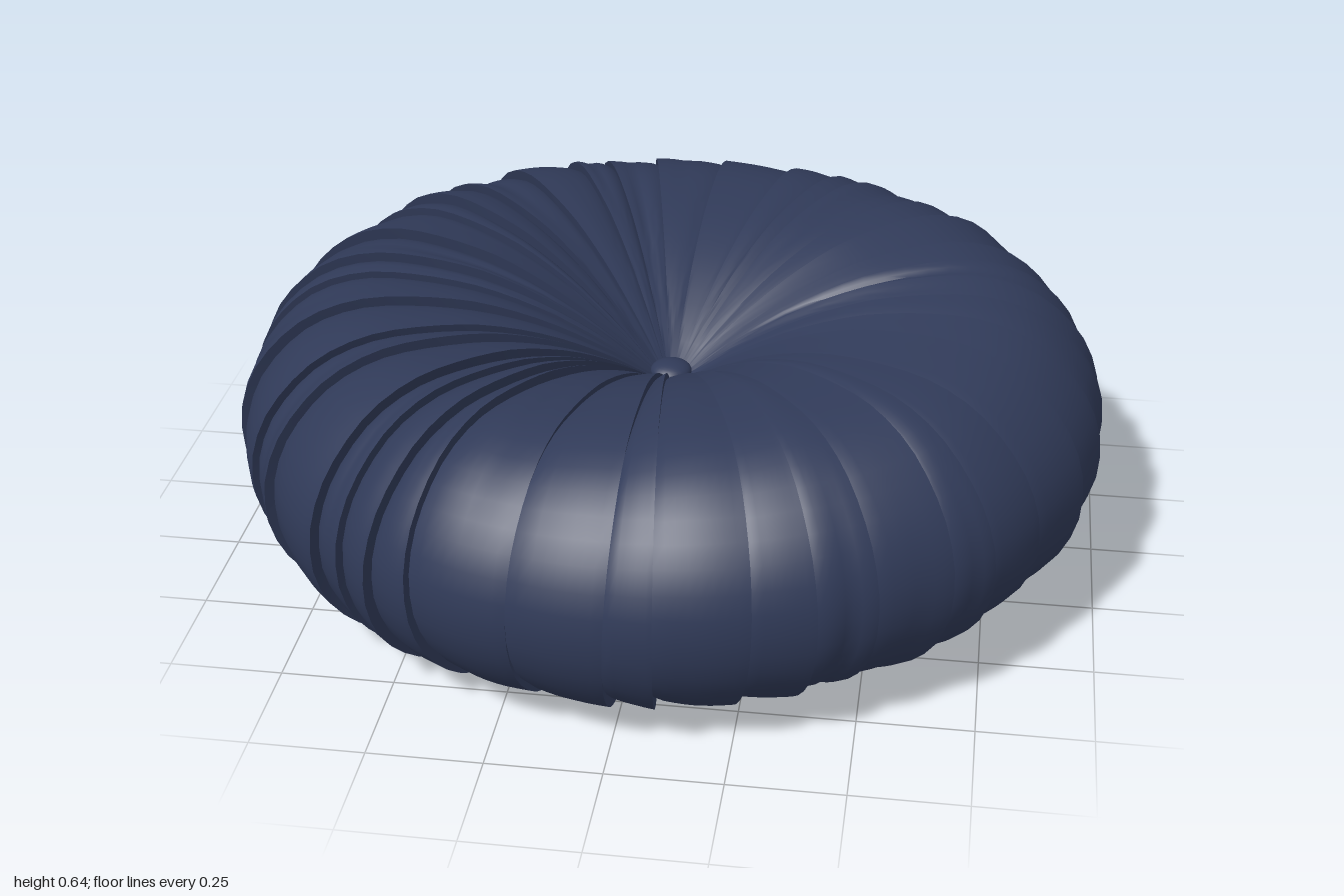
import * as THREE from 'three';
import { toCreasedNormals } from 'three/addons/utils/BufferGeometryUtils.js';

const MID = 0.322;   // height of the cushion's middle plane
const PLEATS = 38;
const ROWS = 48;
const COLS = 8;

// small seeded random source
function makeRandom(seed) {
  let s = seed;
  return () => (s = (s * 16807) % 2147483647) / 2147483647;
}

// half section from the tufted top centre, round the rim, to the bottom centre
function makeProfile() {
  const top = [
    [0.015, 0.06], [0.06, 0.085], [0.16, 0.15], [0.3, 0.22], [0.45, 0.268],
    [0.6, 0.29], [0.72, 0.287], [0.83, 0.247], [0.92, 0.165], [0.965, 0.08],
  ];
  const points = top.map(([r, y]) => new THREE.Vector2(r, y));
  points.push(new THREE.Vector2(0.977, 0));
  for (const [r, y] of top.slice().reverse()) points.push(new THREE.Vector2(r, -y));
  return new THREE.SplineCurve(points);
}

// gathered cover: each pleat swells gently and folds over the next one
function pleatedCover() {
  const random = makeRandom(4217);
  const widths = Array.from({ length: PLEATS }, () => 0.55 + random() * 0.9);
  const total = widths.reduce((a, b) => a + b, 0);
  let angle = 0;
  const seams = widths.map((w) => {
    const seam = {
      angle,
      sway: (random() - 0.5) * 0.07,
      phase: random() * 6.28,
      lift: 0.01 + random() * 0.016,
      puff: 0.003 + random() * 0.006,
      crease: random() * 0.012,
      creaseAt: 0.15 + random() * 0.7,
    };
    angle += (w / total) * Math.PI * 2;
    return seam;
  });

  const profile = makeProfile();
  const rows = Array.from({ length: ROWS + 1 }, (_, j) => {
    const t = j / ROWS;
    return { t, p: profile.getPointAt(t), d: profile.getTangentAt(t) };
  });
  const seamAngle = (s, t) => s.angle + s.sway * Math.sin(t * 5 + s.phase);

  const positions = [];
  const indices = [];
  seams.forEach((seam, i) => {
    const next = seams[(i + 1) % PLEATS];
    const turn = i === PLEATS - 1 ? Math.PI * 2 : 0;
    const base = positions.length / 3;
    for (const { t, p, d } of rows) {
      const a0 = seamAngle(seam, t);
      const a1 = seamAngle(next, t) + turn;
      const fullness = Math.min(1, p.x / 0.45);
      for (let k = 0; k <= COLS + 1; k++) {
        const fold = k > COLS;                       // last column tucks under
        const u = fold ? 1 : k / COLS;
        const a = a0 + (a1 - a0) * (fold ? 1 : u * 1.03);
        const dent = seam.crease * Math.exp(-(((t - seam.creaseAt) / 0.12) ** 2)
          - ((u - 0.6) / 0.16) ** 2);
        const rise = fold ? -0.004
          : seam.lift * u ** 1.6 + seam.puff * Math.sin(Math.PI * u) - dent - (k === 0 ? 0.004 : 0);
        const wave = 0.004 * Math.sin(3 * a + 4 * t) * Math.sin(Math.PI * t);
        const out = (rise + wave) * fullness;
        const r = Math.max(0.008, p.x - d.y * out);
        positions.push(r * Math.sin(a), MID + p.y + d.x * out, r * Math.cos(a));
      }
    }
    const stride = COLS + 2;
    for (let j = 0; j < ROWS; j++) {
      for (let k = 0; k <= COLS; k++) {
        const a = base + j * stride + k;
        const b = a + stride;
        indices.push(a, b, a + 1, b, b + 1, a + 1);
      }
    }
  });

  const geometry = new THREE.BufferGeometry();
  geometry.setAttribute('position', new THREE.Float32BufferAttribute(positions, 3));
  geometry.setIndex(indices);
  return toCreasedNormals(geometry, 0.75);
}

export function createModel() {
  const group = new THREE.Group();
  group.name = 'roundCushion';
  const fabric = new THREE.MeshStandardMaterial({ color: 0x303a58, side: THREE.DoubleSide });
  fabric.name = 'navyFabric';

  const cover = new THREE.Mesh(pleatedCover(), fabric);
  cover.name = 'pleatedCover';
  group.add(cover);

  // covered tuft buttons, top and bottom
  for (const side of [1, -1]) {
    const button = new THREE.Mesh(new THREE.SphereGeometry(0.048, 24, 16), fabric);
    button.name = side > 0 ? 'topButton' : 'bottomButton';
    button.scale.y = 0.5;
    button.position.y = MID + side * 0.085;
    group.add(button);
  }
  return group;
}
